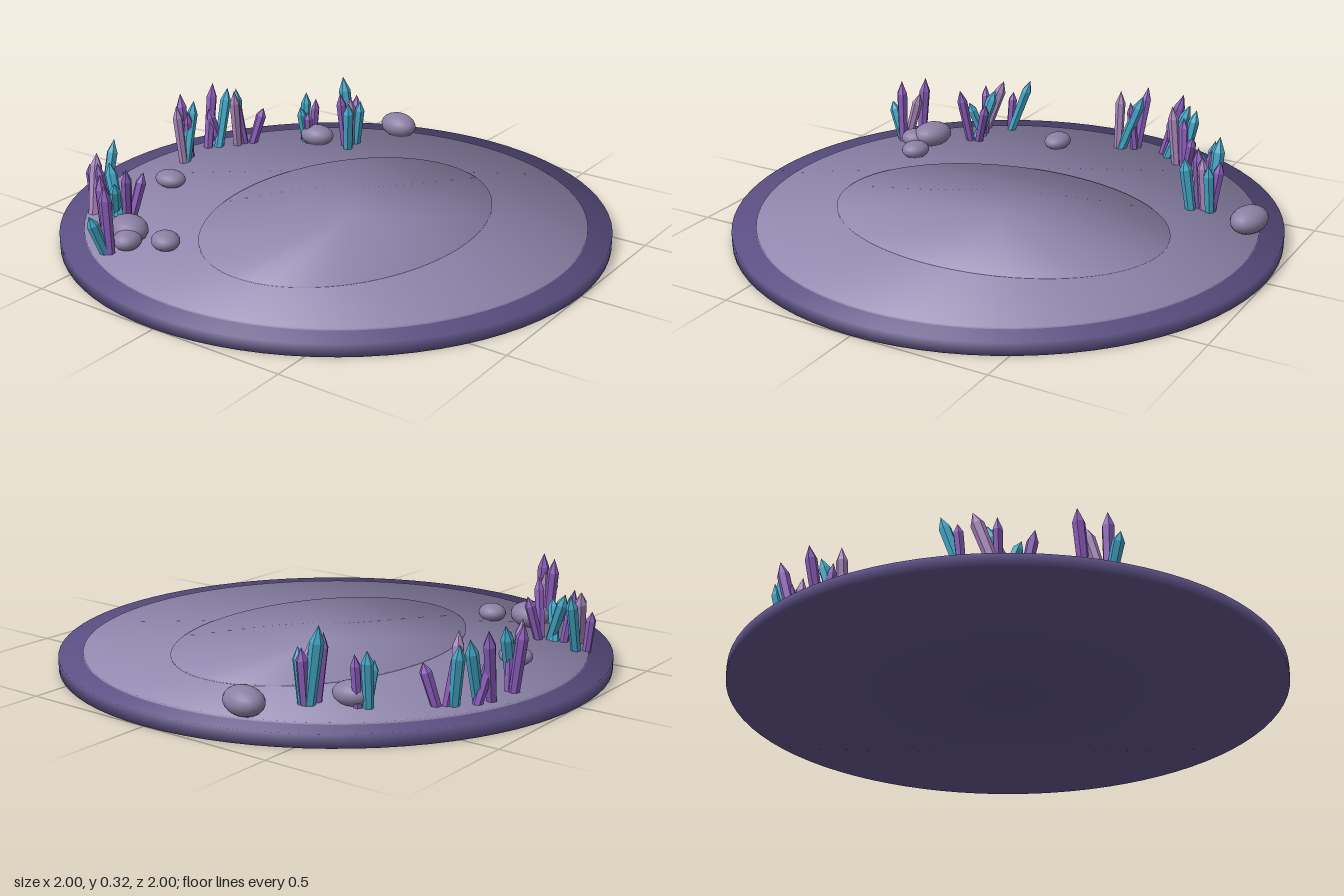
import * as THREE from 'three';

const flat = (name, color, extra = {}) => {
  const m = new THREE.MeshStandardMaterial({ color, ...extra });
  m.name = name;
  return m;
};

// Thin elliptical disc whose normals roll softly from the centre over the rim
function softDisc(rx, rz, y0, y1) {
  const profile = [[0, y0], [1, y0], [1, y1], [0, y1]].map(p => new THREE.Vector2(...p));
  const geo = new THREE.LatheGeometry(profile, 80);
  const pos = geo.attributes.position, nor = geo.attributes.normal;
  const n = new THREE.Vector3();
  for (let i = 0; i < pos.count; i++) {
    const x = pos.getX(i), z = pos.getZ(i);
    n.set(x / rx, 0, z / rz);
    if (n.lengthSq() > 1e-6) n.normalize();
    n.y = i % 4 < 2 ? -1 : 1;
    n.normalize();
    nor.setXYZ(i, n.x, n.y, n.z);
    pos.setXYZ(i, x * rx, pos.getY(i), z * rz);
  }
  return geo;
}

// Six-sided prism with a pointed tip, unit height and radius
const crystalGeometry = new THREE.LatheGeometry(
  [[0, 0], [0.85, 0], [1, 0.8], [0, 1]].map(p => new THREE.Vector2(...p)), 6);

export function createModel() {
  const model = new THREE.Group();
  model.name = 'crystalGround';
  const stone = flat('dark violet stone', 0x5c5084);
  const dust = flat('lavender ground', 0x9289b0);
  const rock = flat('grey violet rock', 0x8b80a4);
  const colours = {
    t: flat('teal crystal', 0x43a6c6, { flatShading: true }),
    p: flat('purple crystal', 0x8a5dba, { flatShading: true }),
    l: flat('lilac crystal', 0xa986bc, { flatShading: true }),
  };

  const add = (name, geo, mat, parent = model) => {
    const mesh = new THREE.Mesh(geo, mat);
    mesh.name = name;
    parent.add(mesh);
    return mesh;
  };

  // Ground: base plate, upper layer and shallow oval
  add('basePlate', softDisc(1, 1, 0, 0.046), stone);
  add('groundLayer', softDisc(0.913, 0.913, 0.03, 0.053), dust);
  add('ovalMound', softDisc(0.642, 0.47, 0.045, 0.057), dust).position.z = 0.06;

  // Rocks: x, z, radii x/y/z, turn
  const rocks = [
    [-0.15, -0.67, 0.05, 0.033, 0.063, 0],
    [-0.615, -0.455, 0.066, 0.048, 0.082, -0.35],
    [-0.67, -0.41, 0.055, 0.035, 0.05, 0.3],
    [-0.597, -0.30, 0.05, 0.034, 0.056, -0.4],
    [0.547, -0.485, 0.054, 0.042, 0.07, 0.15],
    [0.83, -0.272, 0.06, 0.049, 0.083, -0.25],
  ];
  const rockGeometry = new THREE.SphereGeometry(1, 20, 14);
  for (const [x, z, rx, ry, rz, turn] of rocks) {
    const mesh = add('rock', rockGeometry, rock);
    mesh.position.set(x, 0.051 + ry * 0.9, z);
    mesh.scale.set(rx, ry, rz);
    mesh.rotation.y = turn;
  }

  // Crystal clusters: colour, base x, base z, tip x, tip z, tip height, radius
  const clusters = {
    farRight: [
      ['t', -0.745, -0.44, -0.805, -0.455, 0.205, 0.021],
      ['p', -0.74, -0.43, -0.745, -0.435, 0.305, 0.022],
      ['p', -0.69, -0.49, -0.682, -0.515, 0.305, 0.022],
      ['l', -0.74, -0.46, -0.685, -0.475, 0.25, 0.02],
    ],
    backRight: [
      ['l', -0.52, -0.72, -0.45, -0.755, 0.26, 0.023],
      ['p', -0.44, -0.79, -0.435, -0.81, 0.2, 0.018],
      ['t', -0.42, -0.76, -0.335, -0.775, 0.275, 0.021],
    ],
    middleRight: [
      ['t', -0.495, -0.61, -0.455, -0.69, 0.24, 0.022],
      ['t', -0.48, -0.64, -0.525, -0.6, 0.2, 0.02],
      ['p', -0.47, -0.58, -0.42, -0.555, 0.22, 0.02],
      ['p', -0.5, -0.57, -0.53, -0.535, 0.27, 0.02],
      ['p', -0.49, -0.67, -0.505, -0.7, 0.25, 0.018],
    ],
    back: [
      ['l', 0.065, -0.79, 0.06, -0.815, 0.285, 0.02],
      ['t', 0.075, -0.79, 0.16, -0.81, 0.28, 0.022],
      ['p', 0.13, -0.83, 0.153, -0.875, 0.3, 0.021],
      ['p', 0.13, -0.81, 0.11, -0.8, 0.25, 0.018],
    ],
    backLeft: [
      ['p', 0.25, -0.82, 0.32, -0.845, 0.305, 0.022],
      ['t', 0.28, -0.79, 0.365, -0.805, 0.28, 0.022],
      ['p', 0.31, -0.8, 0.27, -0.83, 0.21, 0.02],
      ['l', 0.345, -0.74, 0.32, -0.735, 0.29, 0.021],
      ['t', 0.365, -0.75, 0.4, -0.79, 0.27, 0.022],
      ['p', 0.4, -0.71, 0.435, -0.675, 0.2, 0.021],
      ['p', 0.38, -0.73, 0.36, -0.76, 0.24, 0.019],
    ],
    middleLeft: [
      ['t', 0.545, -0.54, 0.52, -0.55, 0.205, 0.019],
      ['t', 0.55, -0.55, 0.575, -0.56, 0.25, 0.02],
      ['p', 0.535, -0.52, 0.525, -0.515, 0.19, 0.018],
      ['p', 0.565, -0.52, 0.58, -0.515, 0.23, 0.018],
    ],
    left: [
      ['t', 0.575, -0.35, 0.548, -0.33, 0.255, 0.023],
      ['t', 0.64, -0.38, 0.645, -0.425, 0.325, 0.024],
      ['t', 0.645, -0.36, 0.64, -0.335, 0.24, 0.021],
      ['p', 0.6, -0.38, 0.575, -0.39, 0.28, 0.021],
      ['l', 0.62, -0.37, 0.605, -0.36, 0.26, 0.02],
      ['p', 0.645, -0.37, 0.672, -0.375, 0.25, 0.021],
    ],
  };
  const up = new THREE.Vector3(0, 1, 0);
  for (const [name, crystals] of Object.entries(clusters)) {
    const group = new THREE.Group();
    group.name = name + 'CrystalCluster';
    model.add(group);
    crystals.forEach(([c, bx, bz, tx, tz, ty, r], i) => {
      const base = new THREE.Vector3(bx, 0.04, bz);
      const axis = new THREE.Vector3(tx, ty, tz).sub(base);
      const mesh = add('crystal', crystalGeometry, colours[c], group);
      mesh.position.copy(base);
      mesh.scale.set(r, axis.length(), r);
      mesh.quaternion.setFromUnitVectors(up, axis.normalize())
        .multiply(new THREE.Quaternion().setFromAxisAngle(up, i * 0.7));
    });
  }
  return model;
}
